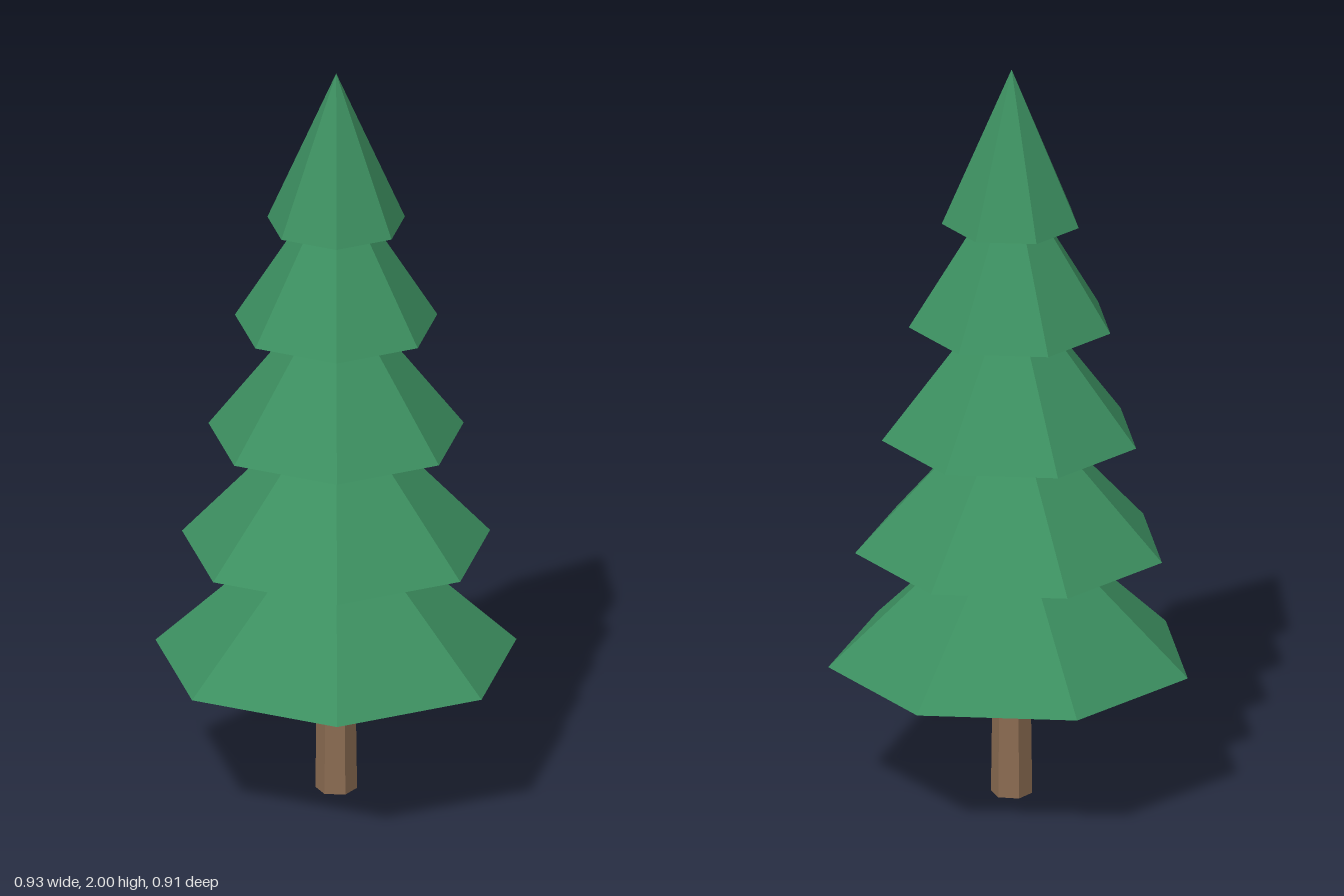
import * as THREE from 'three';

const AXIS_Z = 0.024; // tree axis, offset so the seven-sided crown is centred

// Crown tiers from bottom to top: [base height, corner radius, cone height]
const TIERS = [
  [0.37, 0.478, 0.45],
  [0.682, 0.408, 0.44],
  [0.99, 0.338, 0.44],
  [1.3, 0.268, 0.43],
  [1.582, 0.182, 0.418],
];

export function createModel() {
  const foliage = new THREE.MeshStandardMaterial({ color: 0x3c8f60, flatShading: true });
  foliage.name = 'foliage green';
  const bark = new THREE.MeshStandardMaterial({ color: 0x8b6c52, flatShading: true });
  bark.name = 'bark brown';

  const tree = new THREE.Group();
  tree.name = 'pineTree';

  // Six-sided trunk, tapering slightly into the lowest tier
  const trunkHeight = 0.45;
  const trunk = new THREE.Mesh(new THREE.CylinderGeometry(0.048, 0.054, trunkHeight, 6), bark);
  trunk.name = 'trunk';
  trunk.position.set(0, trunkHeight / 2, AXIS_Z);
  tree.add(trunk);

  // Stacked seven-sided cones, one corner pointing backwards
  const crown = new THREE.Group();
  crown.name = 'crown';
  TIERS.forEach(([base, radius, height], i) => {
    const cone = new THREE.ConeGeometry(radius, height, 7, 1, false, Math.PI);
    const tier = new THREE.Mesh(cone, foliage);
    tier.name = `foliageTier${i + 1}`;
    tier.position.set(0, base + height / 2, AXIS_Z);
    crown.add(tier);
  });
  tree.add(crown);

  return tree;
}
